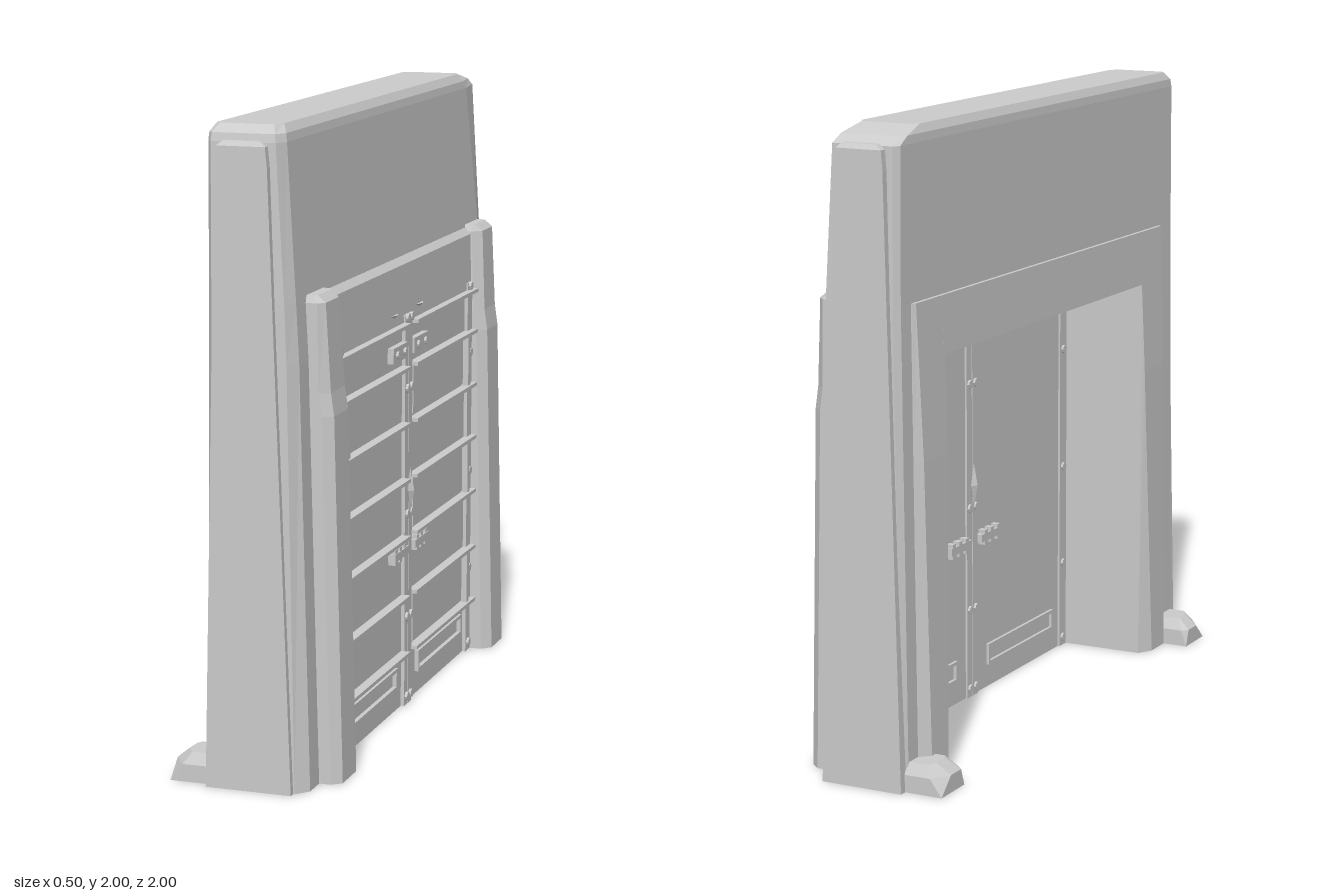
import * as THREE from 'three';

const mat = new THREE.MeshStandardMaterial({ color: 0xcccccc, flatShading: true, side: THREE.DoubleSide });
const ZC = -0.02; // the doorway sits slightly off the wall's middle

// Rectangle in x/z; each corner may be cut by [dx, dz]
function rect(x0, x1, z0, z1, cuts = []) {
  const corners = [[x0, z0, 1, 1], [x1, z0, -1, 1], [x1, z1, -1, -1], [x0, z1, 1, -1]];
  const pts = [];
  corners.forEach(([x, z, sx, sz], i) => {
    const [cx, cz] = cuts[i] || [0, 0];
    const a = [x + sx * cx, z], b = [x, z + sz * cz];
    pts.push(...(i % 2 ? [a, b] : [b, a]));
  });
  return pts;
}

// Convex solid from stacked sections [y, points]
function loft(sections) {
  const pos = [];
  const tri = (a, b, c) => {
    const [A, B, C] = [a, b, c].map(p => new THREE.Vector3(...p));
    if (B.sub(A).cross(C.sub(A)).length() > 1e-9) pos.push(...a, ...b, ...c);
  };
  const rings = sections.map(([y, pts]) => {
    let area = 0;
    pts.forEach((p, i) => { const q = pts[(i + 1) % pts.length]; area += p[0] * q[1] - q[0] * p[1]; });
    return (area > 0 ? [...pts].reverse() : pts).map(([x, z]) => [x, y, z]);
  });
  const n = rings[0].length;
  for (let k = 0; k + 1 < rings.length; k++) {
    for (let i = 0; i < n; i++) {
      const j = (i + 1) % n, lo = rings[k], hi = rings[k + 1];
      tri(lo[i], lo[j], hi[j]);
      tri(lo[i], hi[j], hi[i]);
    }
  }
  const bottom = rings[0], top = rings[rings.length - 1];
  for (let i = 1; i + 1 < n; i++) {
    tri(top[0], top[i], top[i + 1]);
    tri(bottom[0], bottom[i + 1], bottom[i]);
  }
  const g = new THREE.BufferGeometry();
  g.setAttribute('position', new THREE.Float32BufferAttribute(pos, 3));
  g.computeVertexNormals();
  return g;
}

export function createModel() {
  const gate = new THREE.Group();
  gate.name = 'gate';
  const add = (name, geo, parent = gate) => {
    const m = new THREE.Mesh(geo, mat);
    m.name = name;
    parent.add(m);
    return m;
  };
  const box = (name, x0, x1, y0, y1, z0, z1, parent) => {
    const m = add(name, new THREE.BoxGeometry(x1 - x0, y1 - y0, Math.abs(z1 - z0)), parent);
    m.position.set((x0 + x1) / 2, (y0 + y1) / 2, (z0 + z1) / 2);
    return m;
  };

  // Wall above the doorway, with a bevelled crest
  const cut = (f, b) => [[0.015, 0.02], [f, b], [f, 0.04], [0.015, 0.02]];
  add('wallHeader', loft([
    [1.3, rect(-0.122, 0.153, -0.98, 0.98, cut(0.025, 0.07))],
    [1.48, rect(-0.12, 0.144, -0.98, 0.98, cut(0.022, 0.09))],
    [1.95, rect(-0.12, 0.116, -0.975, 0.975, cut(0.02, 0.14))],
    [1.975, rect(-0.118, 0.112, -0.93, 0.97, cut(0.02, 0.12))],
    [2, rect(-0.105, 0.095, -0.83, 0.94, cut(0.015, 0.03))],
  ]));

  for (const s of [1, -1]) {
    const side = new THREE.Group();
    side.name = s > 0 ? 'frontSide' : 'rearSide';
    gate.add(side);
    // Section whose first z is towards the doorway
    const sec = (y, x0, x1, inner, outer, cuts) => {
      const pts = rect(x0, x1, inner, outer, cuts);
      return [y, s > 0 ? pts : pts.map(([x, z]) => [x, -z])];
    };
    const o = s * ZC; // doorway shift measured outwards

    // Wall pier beside the doorway
    const b = s > 0 ? 0.04 : 0.07;
    add('wallPier', loft([
      sec(0, -0.135, 0.183, 0.7 + o, 0.98, [, , [0.035, b], [0.015, 0.02]]),
      sec(1.3, -0.122, 0.153, 0.7 + o, 0.98, [, , [0.025, b], [0.015, 0.02]]),
    ]), side);

    // Raised plate on the end of the wall
    add('endPlate', loft([
      sec(0, -0.13, 0.143, 0.96, 1),
      sec(1.88, -0.085, 0.078, 0.96, 1),
      sec(1.94, -0.08, 0.072, 0.96, 1),
      sec(1.955, -0.06, 0.055, 0.96, 0.99),
    ]), side);

    // Buttress pillar on the door face
    const pc = [, [0.03, 0.03], [0.03, 0.025], ,];
    add('doorPillar', loft([
      sec(0, 0.1, 0.25, 0.7 + o, 0.88 + o, pc),
      sec(1.13, 0.1, 0.224, 0.7 + o, 0.88 + o, pc),
      sec(1.2, 0.1, 0.214, 0.7 + o, 0.88 + o, pc),
      sec(1.47, 0.1, 0.2, 0.715 + o, 0.88 + o, [, [0.03, 0.03], [0.02, 0.02], ,]),
      sec(1.492, 0.1, 0.175, 0.725 + o, 0.87 + o, [, [0.01, 0.01], [0.01, 0.01], ,]),
    ]), side);

    // Shallow pillar on the opposite face
    add('backPillar', loft([
      sec(0, -0.168, -0.08, 0.7 + o, 0.88 + o, [[0.03, 0.05], , , [0.03, 0.03]]),
      sec(1.0, -0.15, -0.08, 0.7 + o, 0.88 + o, [[0.008, 0.01], , , [0.02, 0.02]]),
      sec(1.48, -0.132, -0.08, 0.7 + o, 0.88 + o, [[0.003, 0.003], , , [0.008, 0.01]]),
    ]), side);

    // Corner stone at the foot
    add('footStone', loft([
      sec(0, -0.255, -0.1, 0.83, 0.975),
      sec(0.055, -0.255, -0.1, 0.83, 0.975, [[0.02, 0.02], , , [0.04, 0.06]]),
      sec(0.09, -0.21, -0.1, 0.85, 0.955, [[0.01, 0.02], , , [0.02, 0.03]]),
    ]), side);
  }

  // Lintels on both faces
  add('doorLintel', loft([
    [1.27, rect(0.1, 0.173, ZC - 0.73, ZC + 0.73)],
    [1.462, rect(0.1, 0.166, ZC - 0.74, ZC + 0.74)],
    [1.482, rect(0.1, 0.145, ZC - 0.74, ZC + 0.74)],
  ]));
  add('backLintel', loft([
    [1.3, rect(-0.139, -0.08, ZC - 0.71, ZC + 0.71)],
    [1.48, rect(-0.132, -0.08, ZC - 0.71, ZC + 0.71)],
  ]));

  // Double doors: s picks the leaf, distances run outwards from the seam
  const rails = [0.18, 0.37, 0.57, 0.76, 0.945, 1.13, 1.27];
  for (const s of [1, -1]) {
    const leaf = new THREE.Group();
    leaf.name = s > 0 ? 'frontLeaf' : 'rearLeaf';
    gate.add(leaf);
    const bar = (name, x0, x1, y0, y1, d0, d1) => box(name, x0, x1, y0, y1, ZC + s * d0, ZC + s * d1, leaf);
    bar('doorPanel', 0.15, 0.166, 0, 1.3, 0.001, 0.71);
    bar('centreStile', 0.143, 0.178, 0, 1.3, 0.002, 0.037);
    bar('outerStile', 0.143, 0.178, 0, 1.3, 0.65, 0.705);
    rails.forEach(y => bar('rail', 0.16, 0.198, y - 0.006, y + 0.006, 0.035, 0.71));

    // Raised panels with an upright bracket at the outer end
    for (const y of [0.18, 0.57, 0.945]) {
      bar('raisedPanel', 0.16, 0.174, y + 0.015, y + 0.18, 0.06, 0.61);
      bar('bracket', 0.16, 0.192, y + 0.008, y + 0.18, 0.615, 0.64);
    }

    // Framed kick plates, on both faces
    for (const [x0, x1] of [[0.16, 0.18], [0.14, 0.155]]) {
      for (const y of [0.083, 0.143]) bar('kickFrame', x0, x1, y - 0.006, y + 0.006, 0.11, 0.595);
      for (const d of [0.11, 0.583]) bar('kickFrame', x0, x1, 0.089, 0.137, d, d + 0.012);
    }

    // Bolted strap near the top
    bar('strap', 0.16, 0.186, 1.165, 1.215, 0.035, 0.18);
    const bolt = (x, y, d, r) => {
      const m = add('rivet', new THREE.CylinderGeometry(r, r, 0.012, 8), leaf);
      m.rotation.z = Math.PI / 2;
      m.position.set(x, y, ZC + s * d);
    };
    for (const d of [0.07, 0.145]) bolt(0.188, 1.19, d, 0.012);
    for (const y of [0.03, 0.3, 0.645, 1.06, 1.29]) {
      for (const d of [0.02, 0.672]) {
        bolt(0.181, y, d, 0.014);
        bolt(0.141, y, d, 0.014);
      }
    }

    // Notched lock bar, on both faces
    for (const [x0, x1] of [[0.16, 0.192], [0.126, 0.155]]) {
      bar('lockBar', x0, x1, 0.518, 0.544, 0.035, 0.175);
      for (const d of [0.055, 0.1, 0.145]) bar('lockTooth', x0, x1 - 0.002, 0.506, 0.556, d, d + 0.022);
    }
    // Small wedge ornament over the leaf
    const wedge = add('wedge', new THREE.ConeGeometry(0.05, 0.014, 4), leaf);
    wedge.scale.x = 0.3;
    wedge.rotation.x = Math.PI;
    wedge.position.set(0.168, 1.308, ZC + s * 0.13);
  }

  // Door handle over the seam, on both faces
  for (const x of [0.184, 0.137]) {
    const handle = add('handle', new THREE.OctahedronGeometry(1), gate);
    handle.scale.set(0.014, 0.075, 0.02);
    handle.position.set(x, 0.72, ZC);
  }
  return gate;
}
